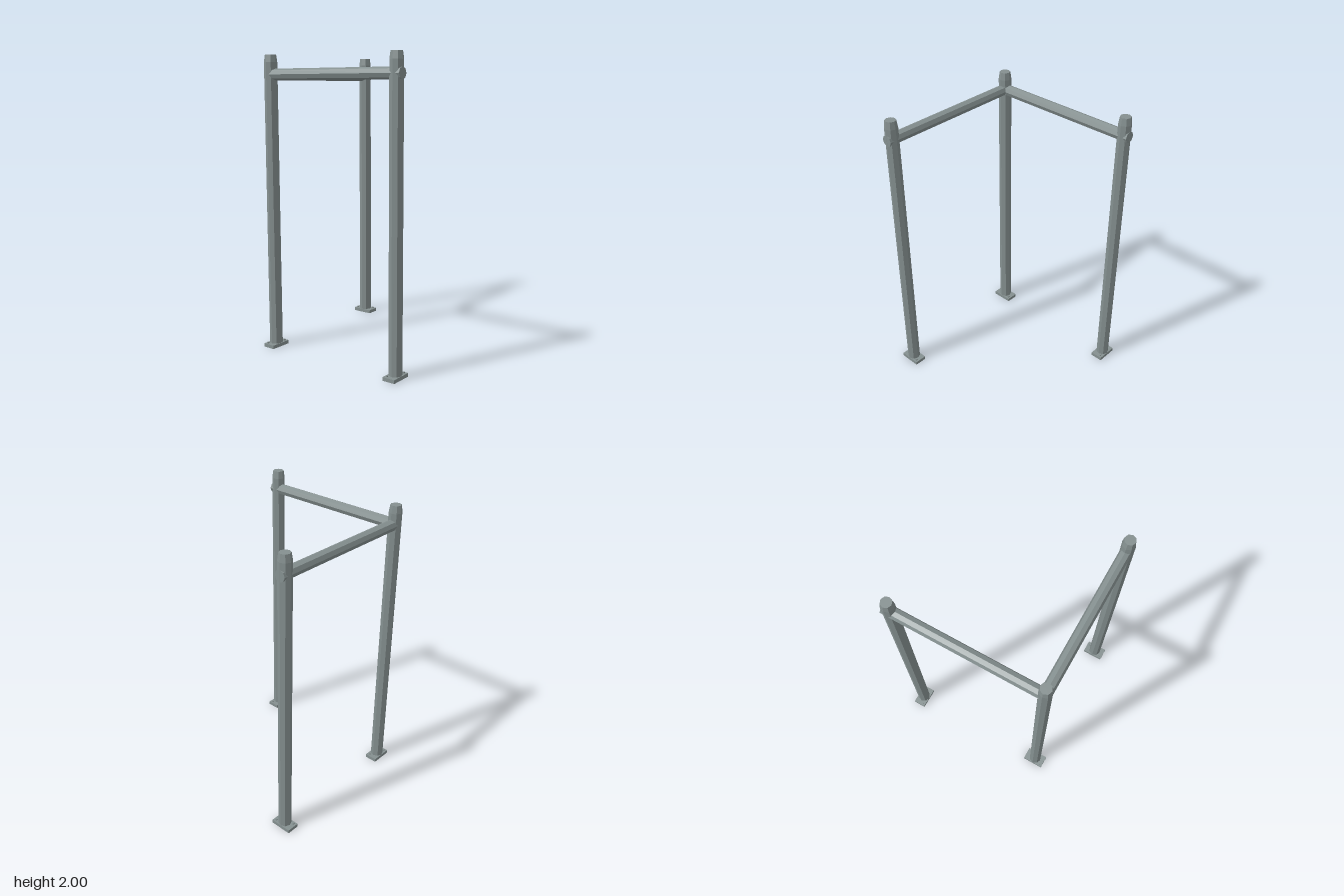
import * as THREE from 'three';

const POST_R = 0.044, BEAM_R = 0.038, BEAM_Y = 1.87;
const PLATE_H = 0.024, CAP_Y = 1.95, TOP_Y = 2;

export function createModel() {
  const group = new THREE.Group();
  group.name = 'frame';
  const metal = new THREE.MeshStandardMaterial({ color: 0x859090, flatShading: true });
  metal.name = 'grey steel';

  const add = (parent, name, geometry, x, y, z) => {
    const mesh = new THREE.Mesh(geometry, metal);
    mesh.name = name;
    mesh.position.set(x, y, z);
    parent.add(mesh);
    return mesh;
  };

  // Octagonal post with tapered cap, bolted base plate; alongZ turns the plate's long side
  const addPost = (name, x, z, alongZ) => {
    const post = new THREE.Group();
    post.name = name;
    post.position.set(x, 0, z);
    group.add(post);
    const shaftH = CAP_Y - PLATE_H;
    add(post, 'shaft', new THREE.CylinderGeometry(POST_R, POST_R, shaftH, 8, 1, true), 0, PLATE_H + shaftH / 2, 0);
    add(post, 'cap', new THREE.CylinderGeometry(0.037, POST_R, TOP_Y - CAP_Y, 8), 0, (TOP_Y + CAP_Y) / 2, 0);
    const [w, d] = alongZ ? [0.088, 0.15] : [0.15, 0.088];
    add(post, 'basePlate', new THREE.BoxGeometry(w, PLATE_H, d), 0, PLATE_H / 2, 0);
    // Two bolts on opposite corners
    for (const s of [-1, 1]) {
      add(post, 'bolt', new THREE.CylinderGeometry(0.007, 0.007, 0.01, 8),
        s * (w / 2 - 0.02), PLATE_H + 0.004, s * (d / 2 - 0.02));
    }
  };
  addPost('cornerPost', -0.497, -0.497, false);
  addPost('frontPost', -0.497, 0.525, false);
  addPost('leftPost', 0.525, -0.497, true);

  // Octagonal top beams, running from the corner post through the outer posts
  const start = -0.497, end = 0.568, length = end - start, mid = (start + end) / 2;
  const beam = new THREE.CylinderGeometry(BEAM_R, BEAM_R, length, 8);
  add(group, 'backBeam', beam, mid, BEAM_Y, start).rotation.z = -Math.PI / 2;
  add(group, 'sideBeam', beam, start, BEAM_Y, mid).rotation.x = Math.PI / 2;

  return group;
}
